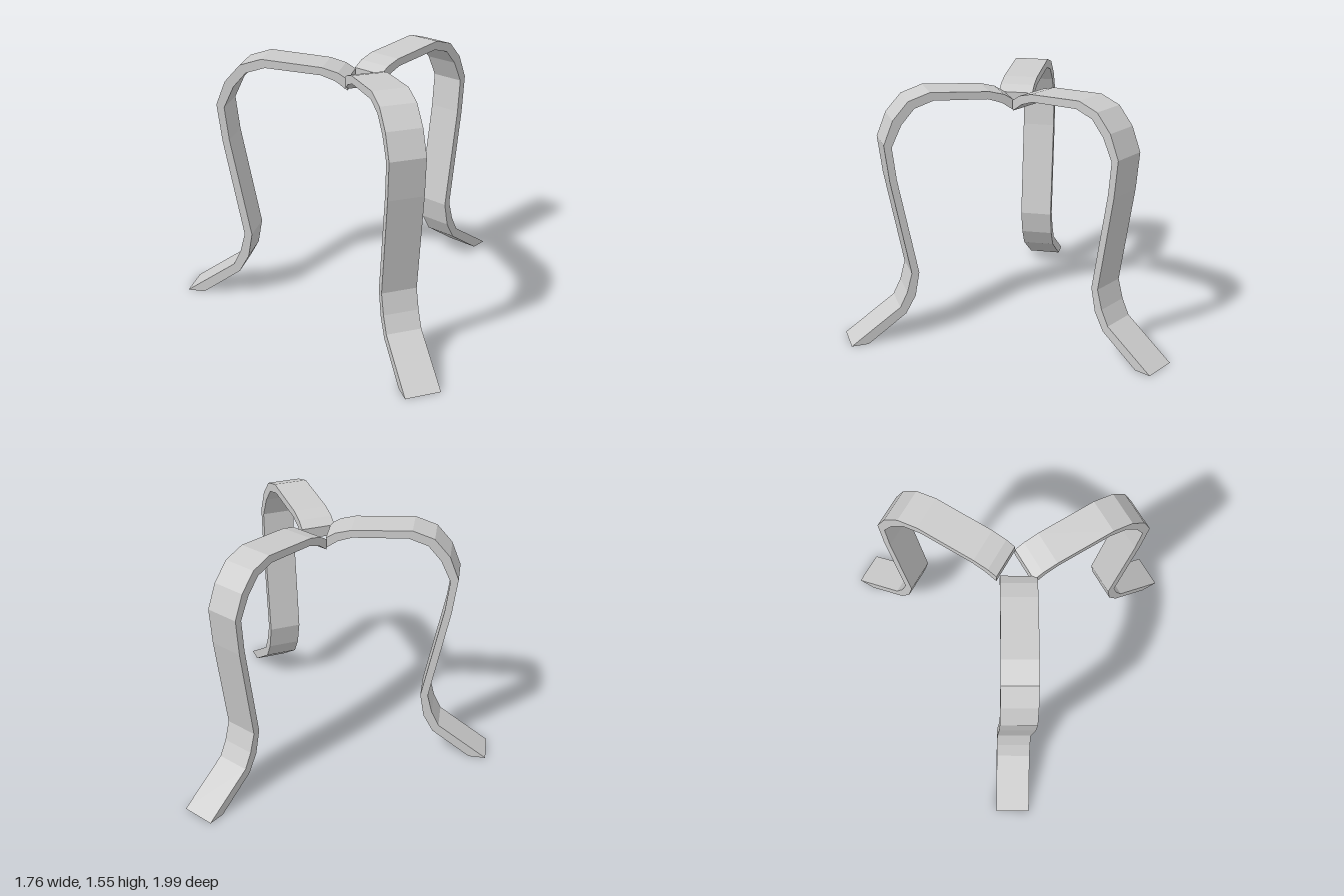
import * as THREE from 'three';

// Side profile of one bent strap leg: x runs outward from its inner end, y is up
const OUTER = [
  [0, 1.46], [0.055, 1.495], [0.145, 1.52], [0.5, 1.547], [0.63, 1.505], [0.725, 1.4],
  [0.784, 1.257], [0.76, 1.03], [0.657, 0.43], [0.69, 0.31], [0.738, 0.215], [1.05, 0],
];
const INNER = [
  [0, 1.395], [0.07, 1.445], [0.155, 1.475], [0.48, 1.497], [0.595, 1.46], [0.675, 1.37],
  [0.738, 1.24], [0.718, 1.04], [0.611, 0.43], [0.64, 0.28], [0.703, 0.17], [0.945, 0],
];
const WIDTH = 0.205;

// Three legs spread at 120 degrees: position of the inner end and heading
const LEGS = [
  { name: 'leftLeg', x: -0.17, z: -0.005, angle: 0 },
  { name: 'backLeg', x: -0.271, z: -0.041, angle: 120 },
  { name: 'frontLeg', x: -0.266, z: 0.032, angle: -120 },
];

export function createModel() {
  const group = new THREE.Group();
  group.name = 'threeLeggedStand';

  const material = new THREE.MeshStandardMaterial({ color: 0xcccccc, flatShading: true });
  const outline = [...OUTER, ...[...INNER].reverse()].map(([x, y]) => new THREE.Vector2(x, y));
  const geometry = new THREE.ExtrudeGeometry(new THREE.Shape(outline), {
    depth: WIDTH,
    bevelEnabled: false,
  });
  geometry.translate(0, 0, -WIDTH / 2);

  for (const { name, x, z, angle } of LEGS) {
    const leg = new THREE.Mesh(geometry, material);
    leg.name = name;
    leg.position.set(x, 0, z);
    leg.rotation.y = THREE.MathUtils.degToRad(angle);
    group.add(leg);
  }
  return group;
}
